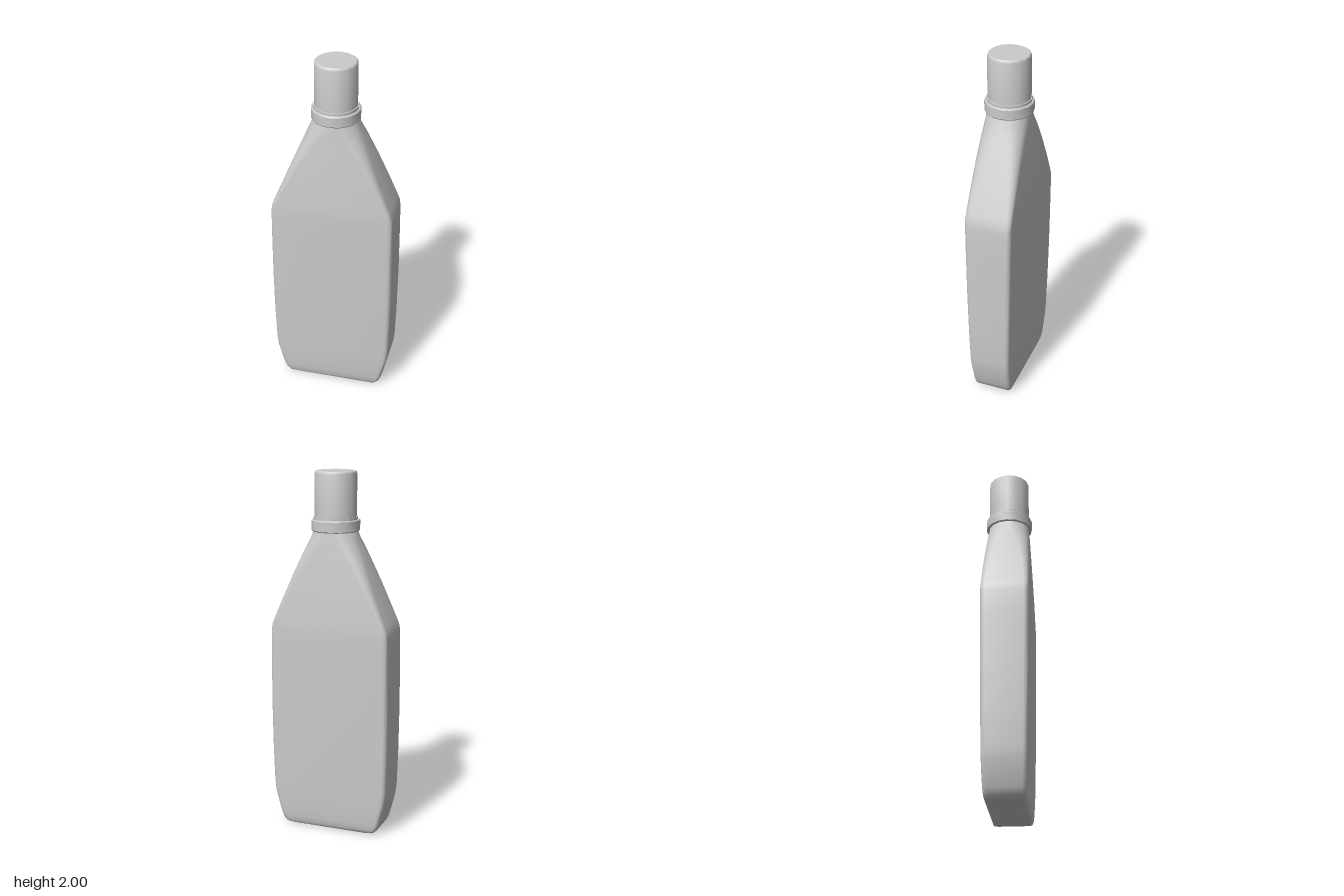
import * as THREE from 'three';
import { toCreasedNormals } from 'three/addons/utils/BufferGeometryUtils.js';

const material = new THREE.MeshStandardMaterial({ color: 0xcccccc });
const CORNER = 4; // segments per rounded corner

// Body cross-sections: height, half width, half depth, corner radius
const SECTIONS = [
  [0.0, 0.235, 0.092, 0.02],
  [0.008, 0.262, 0.104, 0.022],
  [0.025, 0.28, 0.109, 0.024],
  [0.055, 0.293, 0.112, 0.024],
  [0.12, 0.31, 0.115, 0.024],
  [0.19, 0.327, 0.117, 0.024],
  [0.25, 0.333, 0.118, 0.024],
  [0.45, 0.338, 0.122, 0.024],
  [0.7, 0.34, 0.126, 0.024],
  [1.0, 0.338, 0.129, 0.024],
  [1.13, 0.336, 0.13, 0.024],
  [1.165, 0.331, 0.13, 0.024],
  [1.2, 0.318, 0.129, 0.025],
  [1.32, 0.268, 0.127, 0.035],
  [1.45, 0.214, 0.123, 0.052],
  [1.57, 0.164, 0.119, 0.08],
  [1.65, 0.13, 0.116, 0.106],
  [1.7, 0.114, 0.114, 0.114],
];

// Rounded rectangle, turning from +x towards +z
function ring([y, w, d, r]) {
  const points = [];
  for (let q = 0; q < 4; q++) {
    const sx = q === 0 || q === 3 ? 1 : -1;
    const sz = q < 2 ? 1 : -1;
    for (let i = 0; i <= CORNER; i++) {
      const a = (q + i / CORNER) * Math.PI / 2;
      points.push(sx * (w - r) + r * Math.cos(a), y, sz * (d - r) + r * Math.sin(a));
    }
  }
  return points;
}

function bodyGeometry() {
  const n = 4 * (CORNER + 1);
  const positions = SECTIONS.flatMap(ring);
  const index = [];
  for (let s = 0; s < SECTIONS.length - 1; s++) {
    for (let i = 0; i < n; i++) {
      const a = s * n + i, b = s * n + (i + 1) % n;
      index.push(a, a + n, b, b, a + n, b + n);
    }
  }
  // Base
  const centre = positions.length / 3;
  positions.push(0, 0, 0);
  for (let i = 0; i < n; i++) index.push(centre, i, (i + 1) % n);
  const geometry = new THREE.BufferGeometry();
  geometry.setAttribute('position', new THREE.Float32BufferAttribute(positions, 3));
  geometry.setIndex(index);
  return toCreasedNormals(geometry, 0.75);
}

// Turned part from [radius, height] pairs, with sharp rims
function turned(profile) {
  const points = profile.map(([r, y]) => new THREE.Vector2(r, y));
  return toCreasedNormals(new THREE.LatheGeometry(points, 16), 0.6);
}

export function createModel() {
  const group = new THREE.Group();
  const add = (name, geometry) => {
    const mesh = new THREE.Mesh(geometry, material);
    mesh.name = name;
    group.add(mesh);
  };

  add('body', bodyGeometry());
  add('neckCollar', turned([
    [0, 1.68], [0.127, 1.68], [0.131, 1.685], [0.131, 1.738], [0.127, 1.743], [0, 1.743],
  ]));
  add('neckRing', turned([[0, 1.74], [0.12, 1.74], [0.12, 1.758], [0, 1.758]]));
  add('cap', turned([
    [0, 1.75], [0.114, 1.75], [0.114, 1.985], [0.111, 1.995], [0.105, 2], [0, 2],
  ]));
  return group;
}
